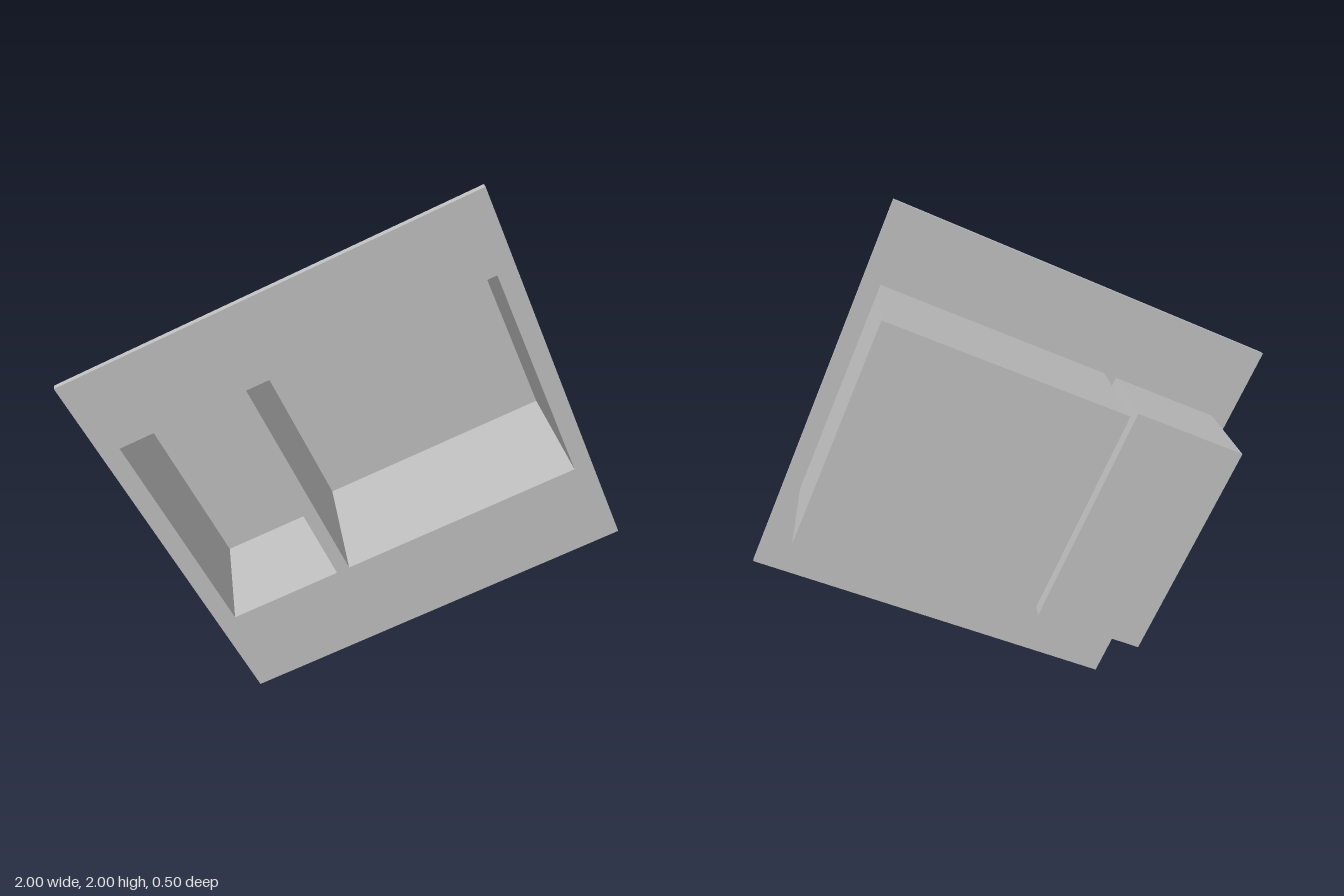
import * as THREE from 'three';

const TILT = Math.atan2(0.61, 1.39);
const HALF = 0.759;                  // half the side of the square panel
const FRONT = 0.25, BACK = 0.226;    // panel faces in z
const BOTTOM = -0.4, TOP = 0.46;     // shared height range of both openings

const bins = [
  { name: 'narrowBin', left: -0.69, right: -0.265, back: -0.172 },
  { name: 'wideBin', left: -0.215, right: 0.692, back: -0.25 },
];

const corners = (l, r, b, t) => [[l, b], [r, b], [r, t], [l, t]].map(([x, y]) => new THREE.Vector2(x, y));

// Thin-walled box without its front face
function openBox(w, h, d) {
  const geo = new THREE.BoxGeometry(w, h, d);
  const index = Array.from(geo.index.array);
  index.splice(24, 6);
  geo.setIndex(index);
  geo.clearGroups();
  return geo;
}

export function createModel() {
  const model = new THREE.Group();
  model.name = 'tiltedPanelWithBins';
  const grey = new THREE.MeshStandardMaterial({ color: 0xbfbfbf, side: THREE.DoubleSide });
  grey.name = 'grey';

  const tilted = new THREE.Group();
  tilted.name = 'tiltedAssembly';
  tilted.position.y = 1;
  tilted.rotation.z = TILT;
  model.add(tilted);

  // Square front panel with two rectangular openings
  const outline = new THREE.Shape(corners(-HALF, HALF, -HALF, HALF));
  for (const b of bins) outline.holes.push(new THREE.Path(corners(b.left, b.right, BOTTOM, TOP)));
  const panel = new THREE.Mesh(
    new THREE.ExtrudeGeometry(outline, { depth: FRONT - BACK, bevelEnabled: false }), grey);
  panel.name = 'frontPanel';
  panel.position.z = BACK;
  tilted.add(panel);

  // Open bins behind the openings
  for (const b of bins) {
    const bin = new THREE.Mesh(openBox(b.right - b.left, TOP - BOTTOM, BACK - b.back), grey);
    bin.name = b.name;
    bin.position.set((b.left + b.right) / 2, (TOP + BOTTOM) / 2, (BACK + b.back) / 2);
    tilted.add(bin);
  }
  return model;
}
